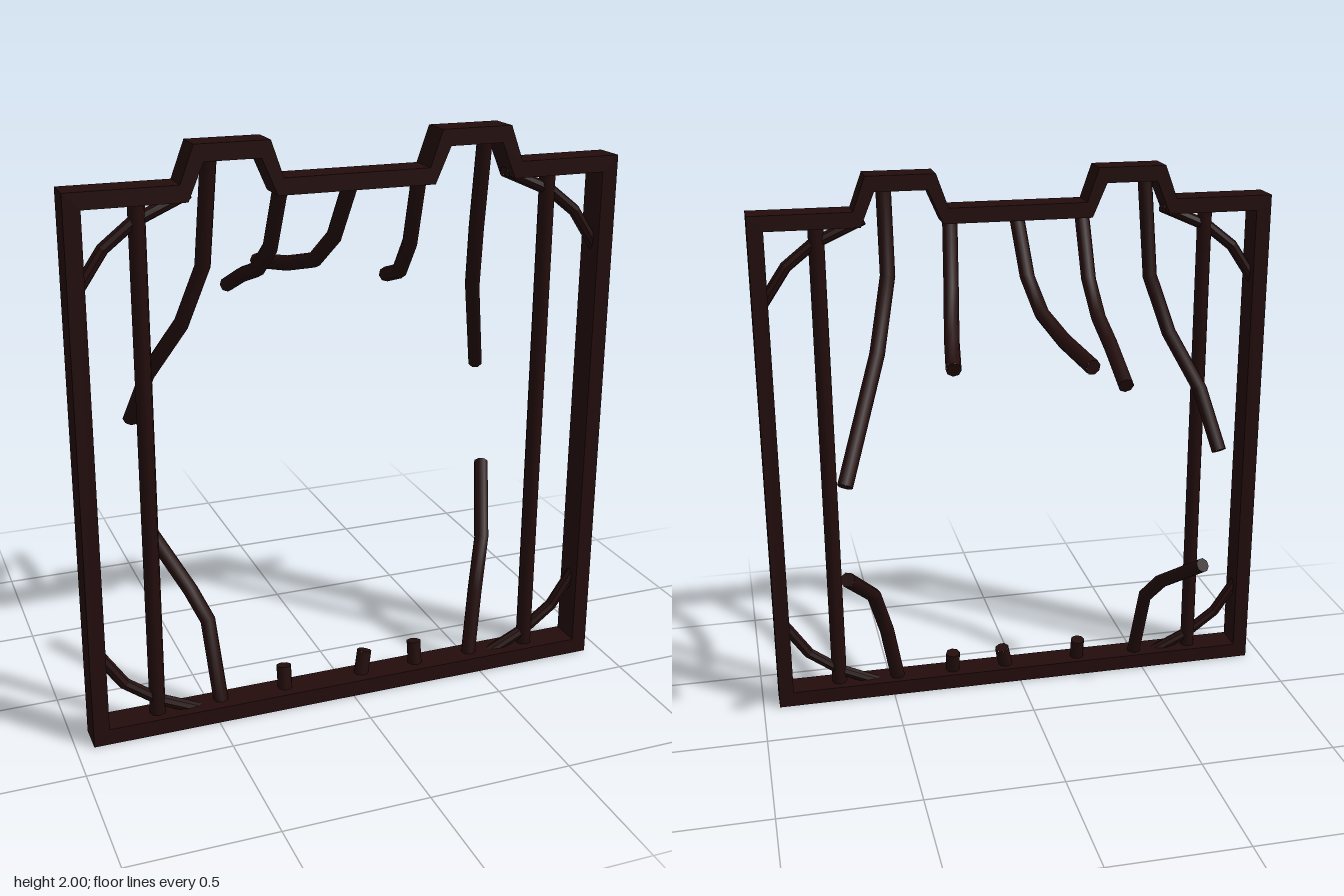
import * as THREE from 'three';
import { mergeGeometries } from 'three/addons/utils/BufferGeometryUtils.js';

const MID_Z = 0.29;   // centre plane of the frame
const DEPTH = 0.11;

// Polyline curve whose rings fall exactly on the bends, with mitred tangents
class BentPath extends THREE.Curve {
  constructor(points) {
    super();
    this.pts = points.map((p) => new THREE.Vector3(...p));
  }
  getPointAt(u, target = new THREE.Vector3()) {
    return target.copy(this.pts[Math.round(u * (this.pts.length - 1))]);
  }
  getTangentAt(u, target = new THREE.Vector3()) {
    const i = Math.round(u * (this.pts.length - 1));
    const dir = (a) => this.pts[a + 1].clone().sub(this.pts[a]).normalize();
    const last = this.pts.length - 2;
    return target.copy(dir(Math.max(i - 1, 0))).add(dir(Math.min(i, last))).normalize();
  }
}

// Bar with closed ends following a list of points
function barGeometry(points, radius, sides = 8) {
  const path = new BentPath(points);
  const n = points.length;
  const parts = [new THREE.TubeGeometry(path, n - 1, radius, sides, false)];
  for (const end of [0, 1]) {
    const out = path.getTangentAt(end).multiplyScalar(end ? 1 : -1);
    const cap = new THREE.CircleGeometry(radius, sides);
    cap.applyQuaternion(new THREE.Quaternion().setFromUnitVectors(new THREE.Vector3(0, 0, 1), out));
    const p = path.getPointAt(end);
    cap.translate(p.x, p.y, p.z);
    parts.push(cap);
  }
  return mergeGeometries(parts);
}

export function createModel() {
  const model = new THREE.Group();
  model.name = 'brokenBarredWindow';
  const iron = new THREE.MeshStandardMaterial({ color: 0x230d0c });
  iron.name = 'dark rusted iron';

  const add = (name, geometry, flat = false) => {
    const mesh = new THREE.Mesh(flat ? geometry.toNonIndexed() : geometry, iron);
    if (flat) mesh.geometry.computeVertexNormals();
    mesh.name = name;
    model.add(mesh);
  };

  // Outer frame with two raised notches along the top
  const outerHalf = [[0.94, 0], [0.94, 1.88], [0.58, 1.88], [0.535, 2], [0.29, 2], [0.248, 1.88]];
  const innerHalf = [[0.885, 0.057], [0.885, 1.825], [0.555, 1.825], [0.505, 1.945], [0.32, 1.945], [0.268, 1.825]];
  const mirrored = (half) => [...half, ...half.map(([x, y]) => [-x, y]).reverse()]
    .map(([x, y]) => new THREE.Vector2(x, y));
  const shape = new THREE.Shape(mirrored(outerHalf));
  shape.holes.push(new THREE.Path(mirrored(innerHalf)));
  const frame = new THREE.ExtrudeGeometry(shape, { depth: DEPTH, bevelEnabled: false });
  frame.translate(0, 0, MID_Z - DEPTH / 2);
  add('frame', frame);

  // Intact side bars and curved corner braces
  for (const [side, s] of [['left', 1], ['right', -1]]) {
    add(`${side}StraightBar`, barGeometry([[s * 0.705, 0.03, MID_Z], [s * 0.705, 1.85, MID_Z]], 0.028));
    const brace = (pts) => barGeometry(pts.map(([x, y]) => [s * x, y, MID_Z]), 0.021);
    add(`${side}UpperBrace`, brace([[0.91, 1.55], [0.815, 1.69], [0.72, 1.765], [0.54, 1.845]]), true);
    add(`${side}LowerBrace`, brace([[0.91, 0.33], [0.815, 0.19], [0.70, 0.105], [0.54, 0.03]]), true);
  }

  // Broken bars bent backwards
  const bent = {
    rightUpperBentBar: [[-0.472, 1.97, MID_Z], [-0.49, 1.6, 0.25], [-0.55, 1.4, 0.19], [-0.64, 1.21, 0.08], [-0.68, 1.01, -0.04]],
    leftUpperBentBar: [[0.467, 1.97, MID_Z], [0.467, 1.65, 0.25], [0.53, 1.41, 0.11], [0.685, 1.03, -0.15]],
    rightLowerBentBar: [[-0.475, 0.03, MID_Z], [-0.495, 0.33, 0.21], [-0.535, 0.42, 0.14], [-0.625, 0.575, -0.075]],
    leftLowerBentBar: [[0.475, 0.03, MID_Z], [0.52, 0.28, 0.24], [0.57, 0.46, 0.18], [0.685, 0.65, -0.07]],
    rightTopBentBar: [[-0.238, 1.84, 0.28], [-0.238, 1.62, 0.17], [-0.238, 1.515, 0.03], [-0.238, 1.46, -0.13], [-0.238, 1.375, -0.325]],
    middleTopBentBar: [[0, 1.84, 0.28], [-0.015, 1.64, 0.17], [-0.04, 1.535, 0.05], [-0.075, 1.485, -0.13], [-0.12, 1.45, -0.34]],
    leftTopBentBar: [[0.238, 1.84, 0.28], [0.255, 1.6, 0.18], [0.28, 1.465, 0.04], [0.305, 1.41, -0.135]],
    rightStub: [[-0.24, 0.03, MID_Z], [-0.24, 0.135, 0.272]],
    middleStub: [[0.045, 0.03, MID_Z], [0.068, 0.135, 0.272]],
    leftStub: [[0.262, 0.03, MID_Z], [0.262, 0.135, 0.272]],
  };
  for (const [name, points] of Object.entries(bent)) add(name, barGeometry(points, 0.027));

  return model;
}
